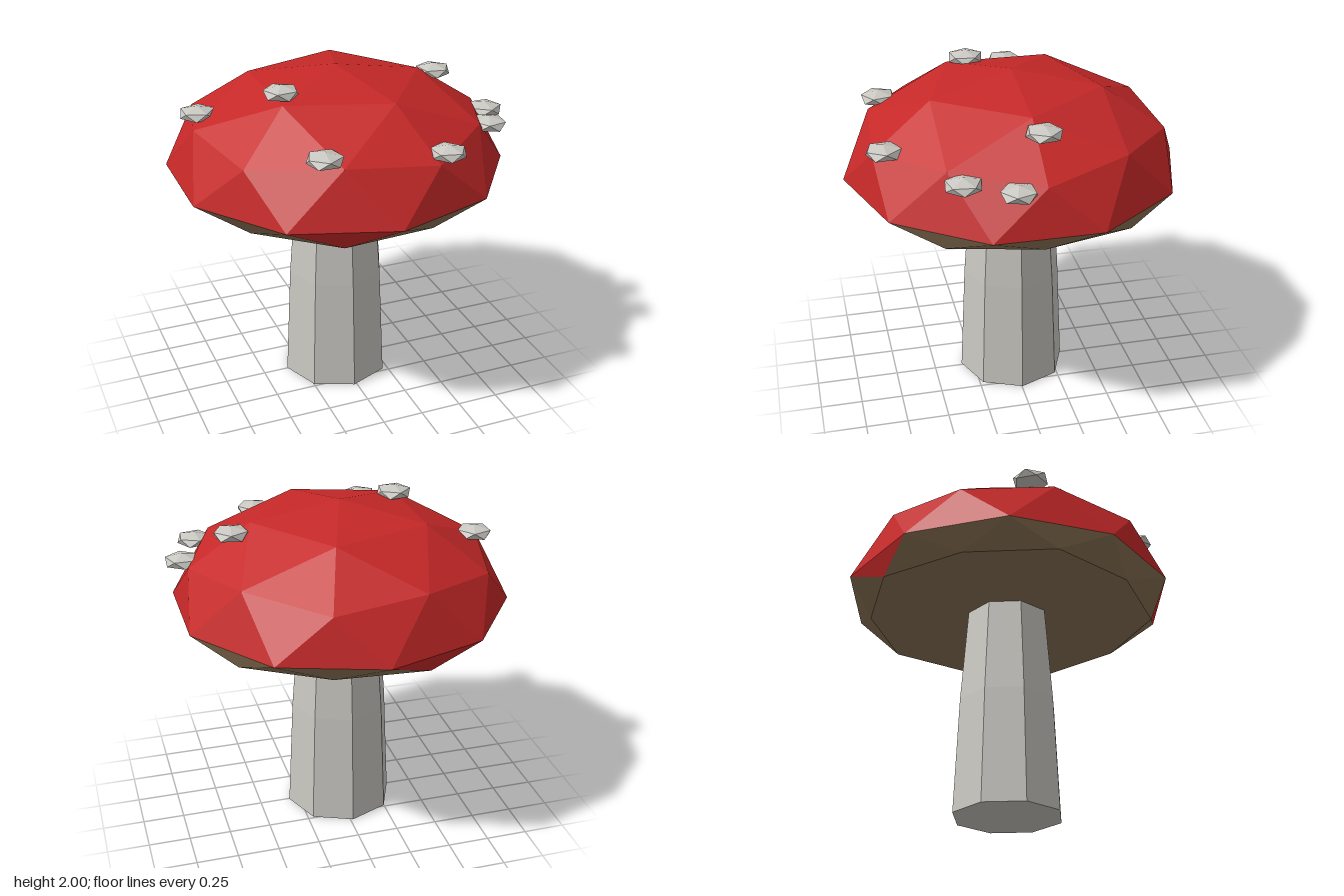
import * as THREE from 'three';

const material = (name, color) => {
  const m = new THREE.MeshStandardMaterial({ color });
  m.name = name;
  return m;
};

// Point at an angle (degrees, counterclockwise from +x seen from above)
const polar = (deg, r, y) => {
  const a = THREE.MathUtils.degToRad(deg);
  return new THREE.Vector3(r * Math.cos(a), y, -r * Math.sin(a));
};

const facetMesh = (name, points, mat) => {
  const geometry = new THREE.BufferGeometry().setFromPoints(points);
  geometry.computeVertexNormals();
  const mesh = new THREE.Mesh(geometry, mat);
  mesh.name = name;
  return mesh;
};

// Faceted dome with a flat, slightly tucked-in underside
function createCap(red, brown) {
  const R = 0.997, H = 0.6, Y = 1.4;
  const pole = new THREE.Vector3(0, Y + H, 0);
  const centre = new THREE.Vector3(0, 1.28, 0);
  const crown = (k) => polar(72 * k, 0.526 * R, Y + 0.851 * H);
  const shoulder = (j) => j % 2
    ? polar(36 * j, 0.851 * R, Y + 0.526 * H)
    : polar(36 * j, 0.894 * R, Y + 0.447 * H);
  const brim = (j) => polar(36 * j + 18, R, Y);
  const under = (j) => polar(36 * j, (j % 2 ? 0.894 : 0.851) * R, 1.28);

  const top = [], gills = [];
  for (let k = 0; k < 5; k++) {
    const a = crown(k), b = crown(k + 1), mid = shoulder(2 * k + 1);
    top.push(pole, a, b);
    top.push(a, shoulder(2 * k), mid);
    top.push(a, mid, b);
    top.push(b, mid, shoulder(2 * k + 2));
  }
  for (let j = 0; j < 10; j++) {
    top.push(shoulder(j), brim(j + 9), brim(j));
    top.push(shoulder(j), brim(j), shoulder(j + 1));
    // two facets under the brim carry the cap colour
    (j === 3 || j === 7 ? top : gills).push(brim(j + 9), under(j), brim(j));
    gills.push(under(j), under(j + 1), brim(j));
    gills.push(centre, under(j + 1), under(j));
  }
  const cap = new THREE.Group();
  cap.name = 'cap';
  cap.add(facetMesh('capTop', top, red), facetMesh('capUnderside', gills, brown));
  cap.position.set(-0.018, 0, -0.004);
  return cap;
}

// Eight-sided tapering stem
function createStem(mat) {
  const profile = [[0, 0], [0.33, 0], [0.297, 0.7], [0.245, 1.36], [0, 1.36]]
    .map(([r, y]) => new THREE.Vector2(r, y));
  const geometry = new THREE.LatheGeometry(profile, 8).toNonIndexed();
  geometry.computeVertexNormals();
  const stem = new THREE.Mesh(geometry, mat);
  stem.name = 'stem';
  stem.position.set(-0.016, 0, -0.004);
  return stem;
}

// Flattened pebble-like spots resting on the cap
function createSpots(mat) {
  const geometry = new THREE.IcosahedronGeometry(0.112, 0);
  geometry.rotateZ(-Math.atan(2 / (1 + Math.sqrt(5)))); // stand on a corner
  geometry.scale(1, 0.4, 1);
  geometry.computeVertexNormals();
  const spots = new THREE.Group();
  spots.name = 'spots';
  [
    [-0.805, 1.765, -0.13], [-0.41, 1.945, 0.19], [-0.36, 1.755, 0.73],
    [0.325, 1.71, 0.785], [0.765, 1.68, 0.425], [0.88, 1.66, 0.155],
    [0.625, 1.87, -0.04],
  ].forEach(([x, y, z], i) => {
    const spot = new THREE.Mesh(geometry, mat);
    spot.name = `spot${i + 1}`;
    spot.position.set(x, y, z);
    spot.rotation.y = i * 1.7;
    spots.add(spot);
  });
  return spots;
}

export function createModel() {
  const red = material('capRed', 0xc62828);
  const brown = material('gillBrown', 0x8b7355);
  const pale = material('paleGrey', 0xcac8c2);
  const model = new THREE.Group();
  model.name = 'mushroom';
  model.add(createStem(pale), createCap(red, brown), createSpots(pale));
  return model;
}
